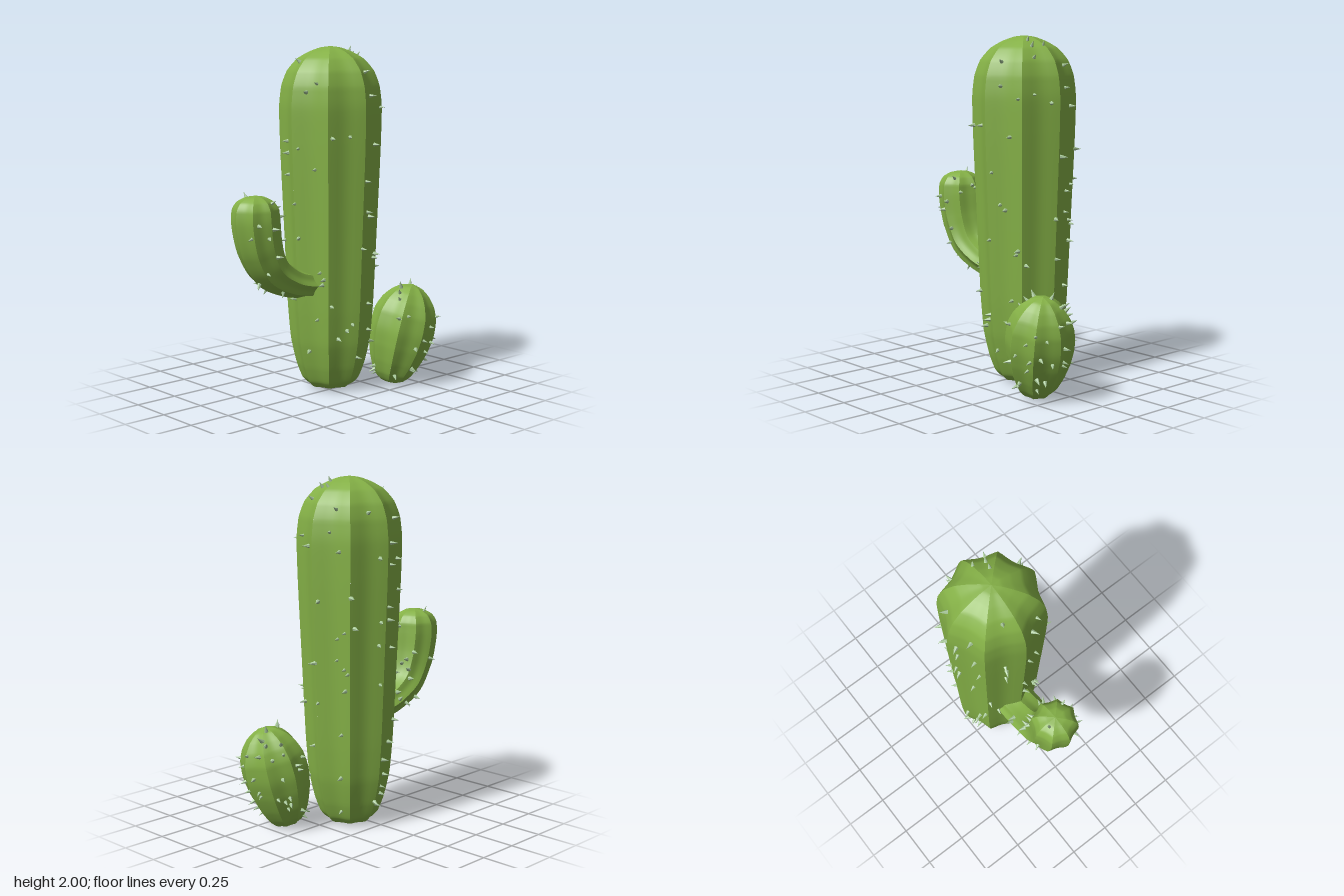
import * as THREE from 'three';
import { mergeGeometries } from 'three/addons/utils/BufferGeometryUtils.js';

const RIBS = 8, PANEL = 8, STEPS = 6;
const Z = new THREE.Vector3(0, 0, 1), Y = new THREE.Vector3(0, 1, 0);

// Ribbed skin swept along stations [x, y, z, radius, flatten]; returns point(t, angle) and its centre curve
function ribbedSurface(stations, twist = 0) {
  const centre = new THREE.CatmullRomCurve3(stations.map(s => new THREE.Vector3(s[0], s[1], s[2])));
  const size = new THREE.CatmullRomCurve3(stations.map(s => new THREE.Vector3(s[3], s[4] ?? 1, 0)));
  const point = (t, angle) => {
    const c = centre.getPoint(t), s = size.getPoint(t), T = centre.getTangent(t);
    const U = T.clone().cross(Z).normalize(), V = U.clone().cross(T);
    const across = angle / (Math.PI * 2) * RIBS;
    // sharp ridges with rounded valleys between them
    const r = Math.max(s.x, 0) * (1 - 0.12 * Math.sin(Math.PI * (across - Math.floor(across))));
    const a = angle + twist;
    return c.addScaledVector(U, r * s.y * Math.cos(a)).addScaledVector(V, r * Math.sin(a));
  };
  return { centre, point, rows: (stations.length - 1) * STEPS };
}

// Each panel has its own edge vertices, so the ridges stay sharp
function ribbedGeometry({ point, rows }) {
  const pos = [], index = [], w = PANEL + 1;
  for (let rib = 0; rib < RIBS; rib++) {
    const base = rib * (rows + 1) * w;
    for (let i = 0; i <= rows; i++) {
      for (let j = 0; j <= PANEL; j++) {
        // stay just inside the panel so both of its edges are ridges
        const f = THREE.MathUtils.clamp(j / PANEL, 1e-5, 1 - 1e-5);
        pos.push(...point(i / rows, (rib + f) / RIBS * Math.PI * 2).toArray());
        if (i < rows && j < PANEL) {
          const a = base + i * w + j, up = a + w;
          index.push(a, up, a + 1, a + 1, up, up + 1);
        }
      }
    }
  }
  const g = new THREE.BufferGeometry();
  g.setAttribute('position', new THREE.Float32BufferAttribute(pos, 3));
  g.setIndex(index);
  g.computeVertexNormals();
  return g;
}

// Small cones scattered over a ribbed skin, pointing outward
function spineGeometry({ centre, point }, count, from, to, random) {
  const cones = [], e = 0.003;
  for (let i = 0; i < count; i++) {
    const u = from + (to - from) * (i + random()) / count;
    const t = centre.getUtoTmapping(u), a = random() * Math.PI * 2;
    const p = point(t, a);
    const n = point(t + e, a).sub(point(t - e, a)).cross(point(t, a + 0.02).sub(point(t, a - 0.02))).normalize();
    const size = 0.85 + 0.4 * random();
    const cone = new THREE.ConeGeometry(0.012, 0.042, 6).translate(0, 0.016, 0).scale(size, size, size);
    cone.applyQuaternion(new THREE.Quaternion().setFromUnitVectors(Y, n));
    cones.push(cone.translate(p.x, p.y, p.z));
  }
  return mergeGeometries(cones);
}

export function createModel() {
  const model = new THREE.Group();
  model.name = 'cactus';
  const green = new THREE.MeshStandardMaterial({ color: 0x84b046 });
  const pale = new THREE.MeshStandardMaterial({ color: 0xa9c99b, flatShading: true });
  let seed = 7;
  const random = () => (seed = (seed * 16807) % 2147483647) / 2147483647;

  const addPart = (name, stations, twist, count, from, to) => {
    const surface = ribbedSurface(stations, twist);
    const part = new THREE.Group();
    part.name = name;
    const skin = new THREE.Mesh(ribbedGeometry(surface), green);
    skin.name = name + 'Skin';
    const spines = new THREE.Mesh(spineGeometry(surface, count, from, to, random), pale);
    spines.name = name + 'Spines';
    part.add(skin, spines);
    model.add(part);
  };

  // Main trunk: [height, radius]
  const trunk = [
    [0.01, 0], [0.013, 0.05], [0.022, 0.125], [0.06, 0.165], [0.15, 0.2], [0.3, 0.233], [0.5, 0.25], [1, 0.272],
    [1.45, 0.291], [1.64, 0.295], [1.77, 0.283], [1.86, 0.25], [1.93, 0.19], [1.97, 0.12], [1.993, 0.055], [2, 0],
  ].map(([y, r]) => [0.06, y, -0.055, r]);
  addPart('trunk', trunk, 0, 85, 0.05, 0.992);

  // Side arm, flattened where it leaves the trunk and bending upward
  const arm = [
    [-0.08, 0.645, 0.118, 0.7], [-0.18, 0.655, 0.118, 0.71], [-0.28, 0.685, 0.118, 0.78], [-0.405, 0.765, 0.122, 0.93],
    [-0.47, 0.89, 0.13, 1], [-0.498, 1.04, 0.137, 1], [-0.5, 1.11, 0.132, 1], [-0.5, 1.155, 0.105, 1],
    [-0.5, 1.18, 0.06, 1], [-0.5, 1.19, 0, 1],
  ].map(([x, y, r, flat]) => [x, y, -0.055, r, flat]);
  addPart('arm', arm, 0, 24, 0.2, 0.985);

  // Leaning pup at the foot: [share of its axis, radius]
  const foot = new THREE.Vector3(0.365, 0.008, 0.135), tip = new THREE.Vector3(0.49, 0.598, 0.2);
  const pup = [
    [0, 0], [0.008, 0.035], [0.03, 0.075], [0.1, 0.115], [0.22, 0.15], [0.38, 0.18], [0.55, 0.194],
    [0.7, 0.187], [0.82, 0.158], [0.91, 0.115], [0.97, 0.065], [1, 0],
  ].map(([k, r]) => [...foot.clone().lerp(tip, k).toArray(), r]);
  addPart('pup', pup, 0.12, 44, 0.06, 0.98);

  return model;
}
